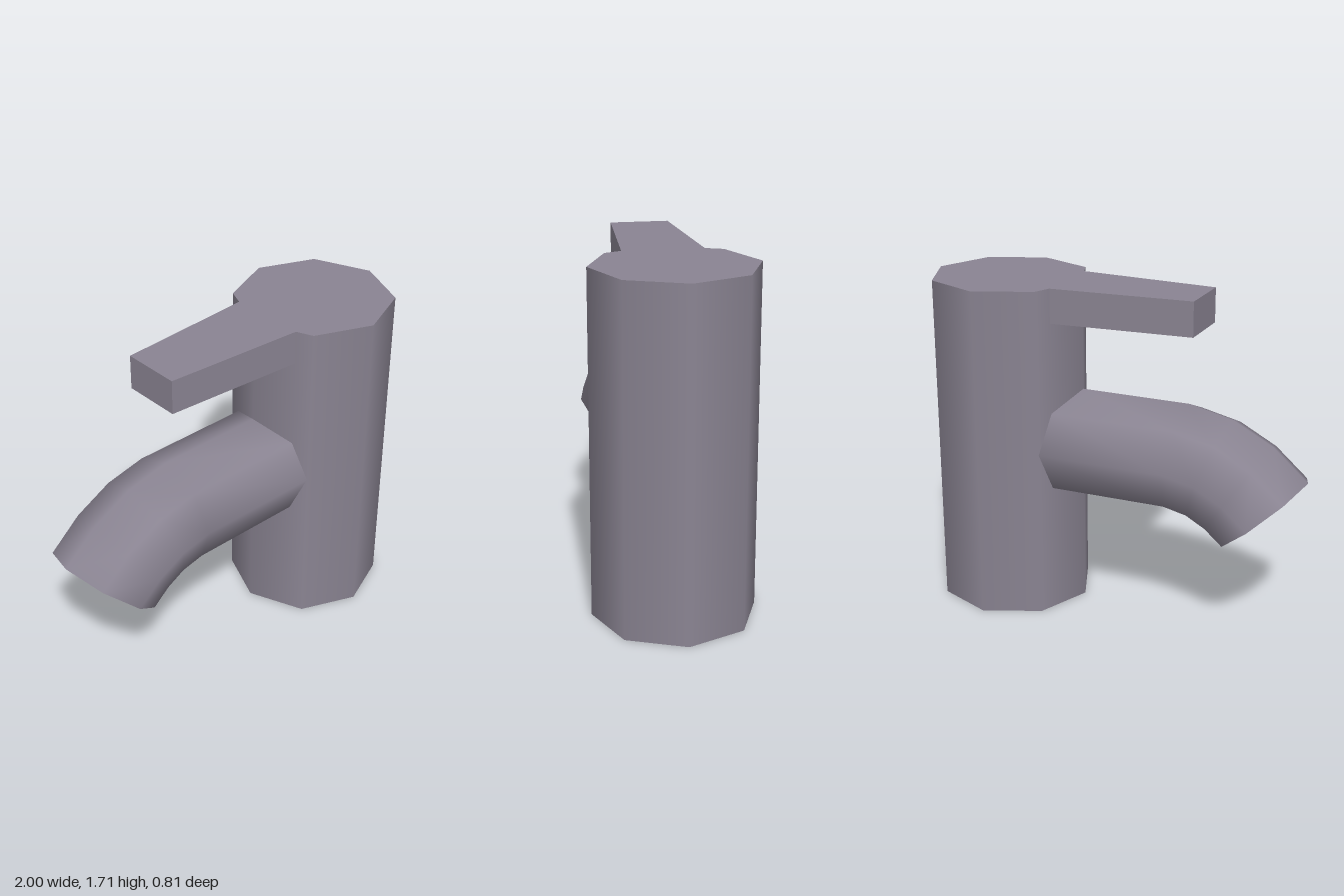
import * as THREE from 'three';

const SIDES = 8;
const COLUMN = { x: 0.597, r: 0.403, h: 1.71 };
const SPOUT_R = 0.283;

function mesh(name, geometry, material) {
  const m = new THREE.Mesh(geometry, material);
  m.name = name;
  return m;
}

// Indexed geometry with smooth normals
function indexed(points, index) {
  const g = new THREE.BufferGeometry();
  g.setAttribute('position', new THREE.Float32BufferAttribute(points, 3));
  g.setIndex(index);
  g.computeVertexNormals();
  return g;
}

export function createModel() {
  const group = new THREE.Group();
  group.name = 'tap';
  const metal = new THREE.MeshStandardMaterial({ color: 0x8a8492 });
  metal.name = 'grey metal';

  // Octagonal column
  const column = mesh('column', new THREE.CylinderGeometry(COLUMN.r, COLUMN.r, COLUMN.h, SIDES), metal);
  column.position.set(COLUMN.x, COLUMN.h / 2, 0);
  group.add(column);

  // Tapered lever, its root fitted to the column's corner
  const face = COLUMN.x - COLUMN.r;
  const slope = Math.tan(Math.PI / 8);
  const root = face + 0.2 * slope;
  const plan = new THREE.Shape([
    [-0.45, -0.15], [root, -0.2], [face, 0], [root, 0.2], [-0.45, 0.15],
  ].map(([x, y]) => new THREE.Vector2(x, y)));
  const leverGeometry = new THREE.ExtrudeGeometry(plan, { depth: 0.175, bevelEnabled: false });
  leverGeometry.rotateX(-Math.PI / 2);
  const lever = mesh('lever', leverGeometry, metal);
  lever.position.y = COLUMN.h - 0.175;
  group.add(lever);

  // Spout rings: centre x, centre y, tilt of the ring's up axis
  const rings = [
    [face, 0.87, 0],
    [-0.35, 0.87, 0.11],
    [-0.515, 0.833, 0.34],
    [-0.66, 0.755, 0.6],
    [-0.788, 0.643, 0.85],
  ];
  const points = [];
  const index = [];
  rings.forEach(([x, y, tilt], i) => {
    for (let j = 0; j < SIDES; j++) {
      const a = (j / SIDES) * Math.PI * 2;
      const up = Math.cos(a) * SPOUT_R;
      const z = Math.sin(a) * SPOUT_R;
      // The first ring follows the faces of the column
      const fit = i === 0 ? Math.abs(z) * slope : 0;
      points.push(x - up * Math.sin(tilt) + fit, y + up * Math.cos(tilt), z);
      if (i === rings.length - 1) continue;
      const p = i * SIDES + j;
      const q = i * SIDES + (j + 1) % SIDES;
      index.push(p, p + SIDES, q, q, p + SIDES, q + SIDES);
    }
  });
  group.add(mesh('spout', indexed(points, index), metal));

  // Flat end of the spout
  const cap = [];
  for (let j = 1; j < SIDES - 1; j++) cap.push(0, j + 1, j);
  group.add(mesh('spoutEnd', indexed(points.slice(-SIDES * 3), cap), metal));

  return group;
}
